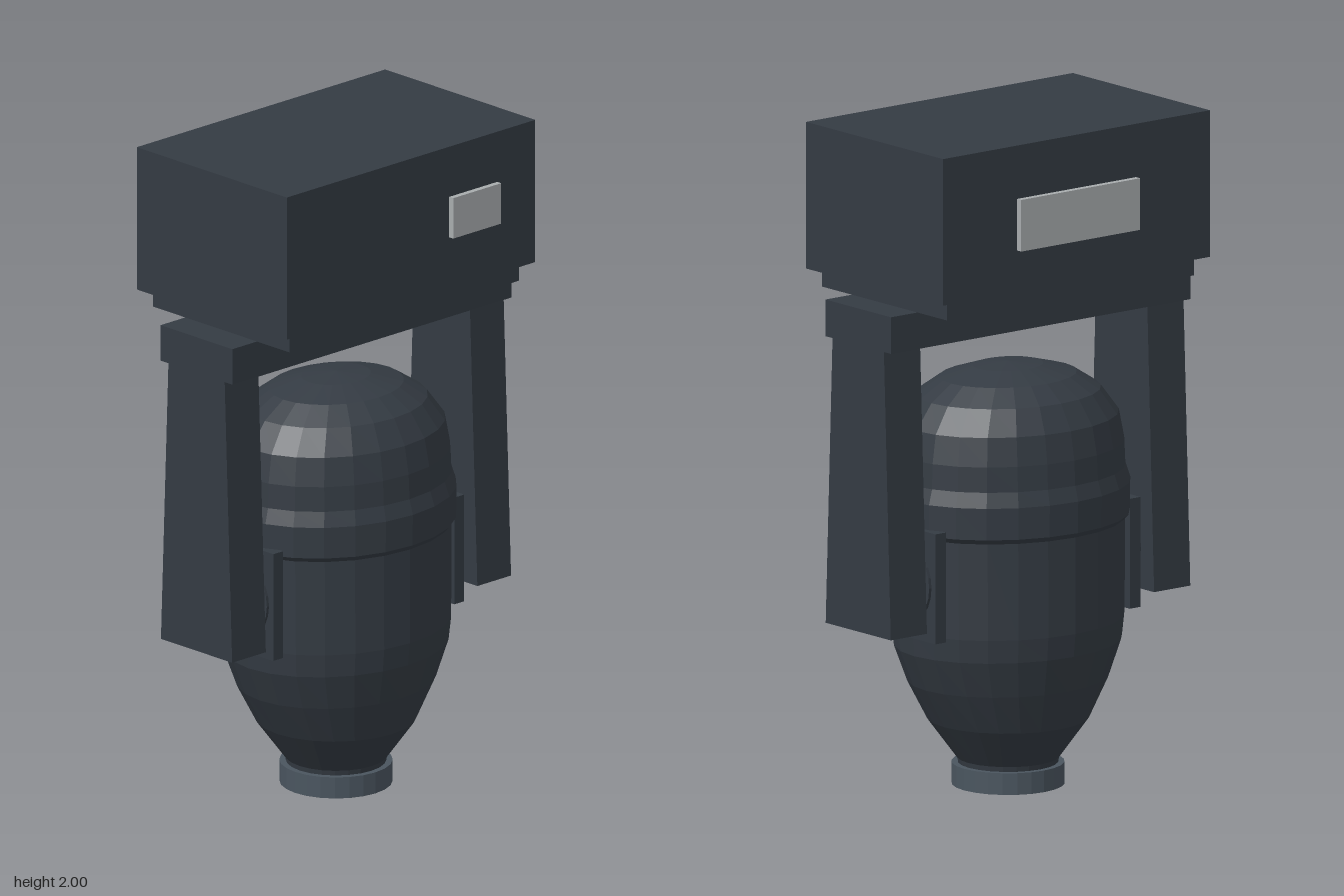
import * as THREE from 'three';

const mat = (color, opts = {}) => new THREE.MeshStandardMaterial({ color, flatShading: true, ...opts });
const shell = mat(0x343b43);
const collarMat = mat(0x4a555f);
const panelMat = mat(0xa8acae);
const lensMat = mat(0x6c7478);

export function createModel() {
  const model = new THREE.Group();
  const add = (parent, name, geometry, material, x = 0, y = 0, z = 0) => {
    const mesh = new THREE.Mesh(geometry, material);
    mesh.name = name;
    mesh.position.set(x, y, z);
    parent.add(mesh);
    return mesh;
  };
  const box = (parent, name, x, y0, y1, z, material = shell) =>
    add(parent, name, new THREE.BoxGeometry(x, y1 - y0, z), material, 0, (y0 + y1) / 2, 0);

  // Base housing, its plinth and the display panels
  box(model, 'baseHousing', 1.01, 1.56, 2, 0.632);
  box(model, 'basePlinth', 0.934, 1.505, 1.56, 0.576);
  box(model, 'frontDisplay', 0.195, 1.72, 1.845, 0.04, panelMat).position.set(0.253, 1.7825, 0.313);
  box(model, 'rearConnectorPanel', 0.45, 1.685, 1.84, 0.04, panelMat).position.set(0, 1.7625, -0.315);

  // Yoke crossbar
  box(model, 'yokeCrossbar', 1.134, 1.395, 1.505, 0.302);

  // Arms, narrower at the top, with pivot and side plate
  for (const [side, s] of [['left', 1], ['right', -1]]) {
    const arm = new THREE.Group();
    arm.name = side + 'YokeArm';
    const g = new THREE.BoxGeometry(0.137, 0.86, 0.3);
    const p = g.attributes.position;
    for (let i = 0; i < p.count; i++) if (p.getY(i) > 0) p.setZ(i, p.getZ(i) * 0.79);
    g.computeVertexNormals();
    add(arm, side + 'Arm', g, shell, s * 0.4985, 0.965, 0);
    const disc = (name, r, x0, x1) => {
      const c = new THREE.CylinderGeometry(r, r, x1 - x0, 24).rotateZ(Math.PI / 2);
      add(arm, side + name, c, shell, s * (x0 + x1) / 2, 0.66, 0);
    };
    disc('PivotFlange', 0.12, 0.38, 0.397);
    disc('PivotAxle', 0.09, 0.39, 0.435);
    add(arm, side + 'PivotPlate', new THREE.BoxGeometry(0.04, 0.33, 0.276), shell, s * 0.368, 0.66, 0);
    model.add(arm);
  }

  // Head: lathe profile of [half width, height, half depth], oval in section
  const profile = [
    [0, 0.05, 0], [0.145, 0.05, 0.145], [0.15, 0.08, 0.15], [0.24, 0.2, 0.235],
    [0.31, 0.32, 0.275], [0.355, 0.43, 0.303], [0.362, 0.5, 0.311], [0.365, 0.79, 0.311],
    [0.38, 0.805, 0.322], [0.381, 0.9, 0.324], [0.366, 0.945, 0.31], [0.363, 1.02, 0.306],
    [0.347, 1.105, 0.29], [0.29, 1.18, 0.245], [0.215, 1.228, 0.18], [0.11, 1.257, 0.093], [0, 1.267, 0],
  ];
  const headGeo = new THREE.LatheGeometry(profile.map(([x, y]) => new THREE.Vector2(x, y)), 24);
  const hp = headGeo.attributes.position;
  for (let i = 0; i < hp.count; i++) {
    const [rx, , rz] = profile[i % profile.length];
    if (rx > 0) hp.setZ(i, hp.getZ(i) * rz / rx);
  }
  headGeo.computeVertexNormals();
  add(model, 'lampHead', headGeo, shell);

  // Lens collar and recessed lens
  const collar = [[0.115, 0.06], [0.115, 0], [0.166, 0], [0.166, 0.065], [0.115, 0.065]];
  add(model, 'lensCollar', new THREE.LatheGeometry(collar.map(([x, y]) => new THREE.Vector2(x, y)), 24), collarMat);
  add(model, 'lens', new THREE.CylinderGeometry(0.116, 0.116, 0.03, 24), lensMat, 0, 0.033, 0);

  return model;
}
